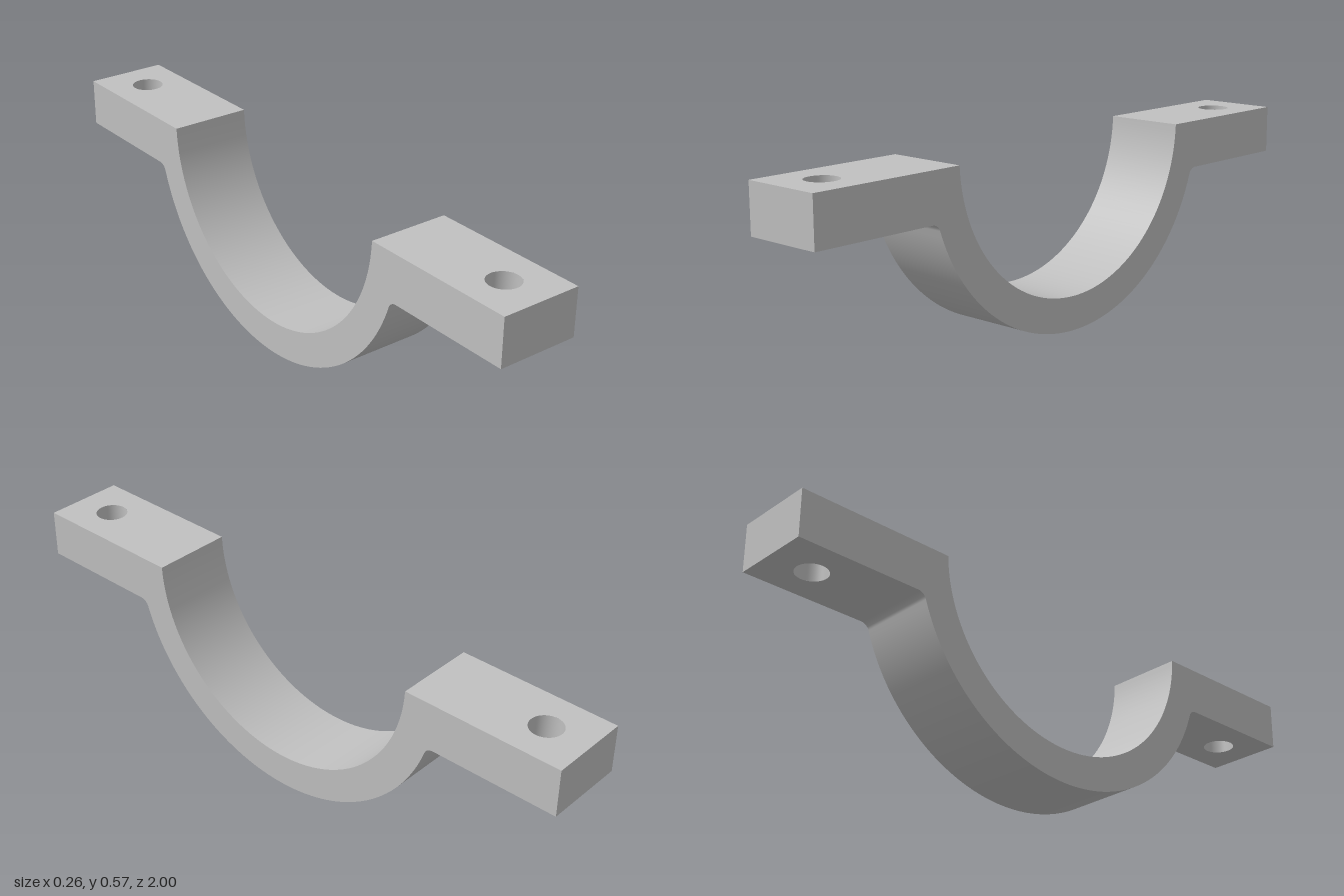
import * as THREE from 'three';
import { mergeGeometries, mergeVertices } from 'three/addons/utils/BufferGeometryUtils.js';

const W = 0.13;                     // half width
const TOP = 0.575, UNDER = 0.423;   // flange top and underside
const CY = 0.593, R_IN = 0.485, R_OUT = 0.593, FILLET = 0.03;
const HOLE_Z = 0.862, HOLE_R = 0.05;

// Points [z, y] on an arc
function arc(cz, cy, r, from, to, n) {
  return Array.from({ length: n + 1 }, (_, i) => {
    const t = from + (to - from) * i / n;
    return [cz + r * Math.cos(t), cy + r * Math.sin(t)];
  });
}

// Smooth ruled strip between two rows of points
function loft(a, b) {
  const pos = [], idx = [], n = a.length;
  [...a, ...b].forEach(p => pos.push(...p));
  for (let i = 0; i < n - 1; i++) idx.push(i, n + i, i + 1, i + 1, n + i, n + i + 1);
  let g = new THREE.BufferGeometry();
  g.setAttribute('position', new THREE.Float32BufferAttribute(pos, 3));
  g.setIndex(idx);
  g = mergeVertices(g, 1e-5);
  g.computeVertexNormals();
  return g;
}

// Strip across the full width, following a [z, y] line
const band = line => loft(line.map(([z, y]) => [-W, y, z]), line.map(([z, y]) => [W, y, z]));

// Horizontal flange face with a bolt hole, from z0 to the front end
function plate(z0, y, dir) {
  const s = new THREE.Shape([[-W, z0], [W, z0], [W, 1], [-W, 1]]
    .map(([x, z]) => new THREE.Vector2(x, -dir * z)));
  s.holes.push(new THREE.Path().absarc(0, -dir * HOLE_Z, HOLE_R, 0, Math.PI * 2));
  return new THREE.ShapeGeometry(s, 48).rotateX(-dir * Math.PI / 2).translate(0, y, 0);
}

export function createModel() {
  const group = new THREE.Group();
  const steel = new THREE.MeshStandardMaterial({ color: 0xc0c0c0 });
  steel.name = 'grey steel';

  // Fillet centre, tangent to the outer arc and the flange underside
  const fy = UNDER - FILLET;
  const fz = Math.sqrt((R_OUT + FILLET) ** 2 - (CY - fy) ** 2);
  const a = Math.atan2(fy - CY, fz);
  const zIn = Math.sqrt(R_IN ** 2 - (CY - TOP) ** 2);
  const b = Math.atan2(TOP - CY, zIn);

  // Profile lines
  const inner = arc(0, CY, R_IN, b, -Math.PI - b, 72);
  const frontFillet = arc(fz, fy, FILLET, a + Math.PI, Math.PI / 2, 10);
  const backFillet = frontFillet.map(([z, y]) => [-z, y]).reverse();
  const outer = [...backFillet, ...arc(0, CY, R_OUT, -Math.PI - a, a, 72).slice(1, -1), ...frontFillet];

  // Flange faces, end face and hole wall, used at both ends
  const ring = y => Array.from({ length: 49 }, (_, i) => {
    const t = i / 48 * Math.PI * 2;
    return [HOLE_R * Math.cos(t), y, HOLE_Z + HOLE_R * Math.sin(t)];
  });
  const flange = [
    plate(zIn, TOP, 1),
    plate(fz, UNDER, -1),
    band([[1, UNDER], [1, TOP]]),
    loft(ring(TOP), ring(UNDER)),
  ];

  // Flat side faces
  const outline = new THREE.Shape([...outer, [1, UNDER], [1, TOP], ...inner, [-1, TOP], [-1, UNDER]]
    .map(([z, y]) => new THREE.Vector2(z, y)));
  const sides = [1, -1].map(s =>
    new THREE.ShapeGeometry(outline).rotateY(s * Math.PI / 2).translate(s * W, 0, 0));

  const pieces = [
    band(inner), band(outer), ...sides, ...flange,
    ...flange.map(g => g.clone().rotateY(Math.PI)),
  ];
  pieces.forEach(g => g.deleteAttribute('uv'));

  const clamp = new THREE.Mesh(mergeGeometries(pieces), steel);
  clamp.name = 'saddleClamp';
  group.add(clamp);
  return group;
}
